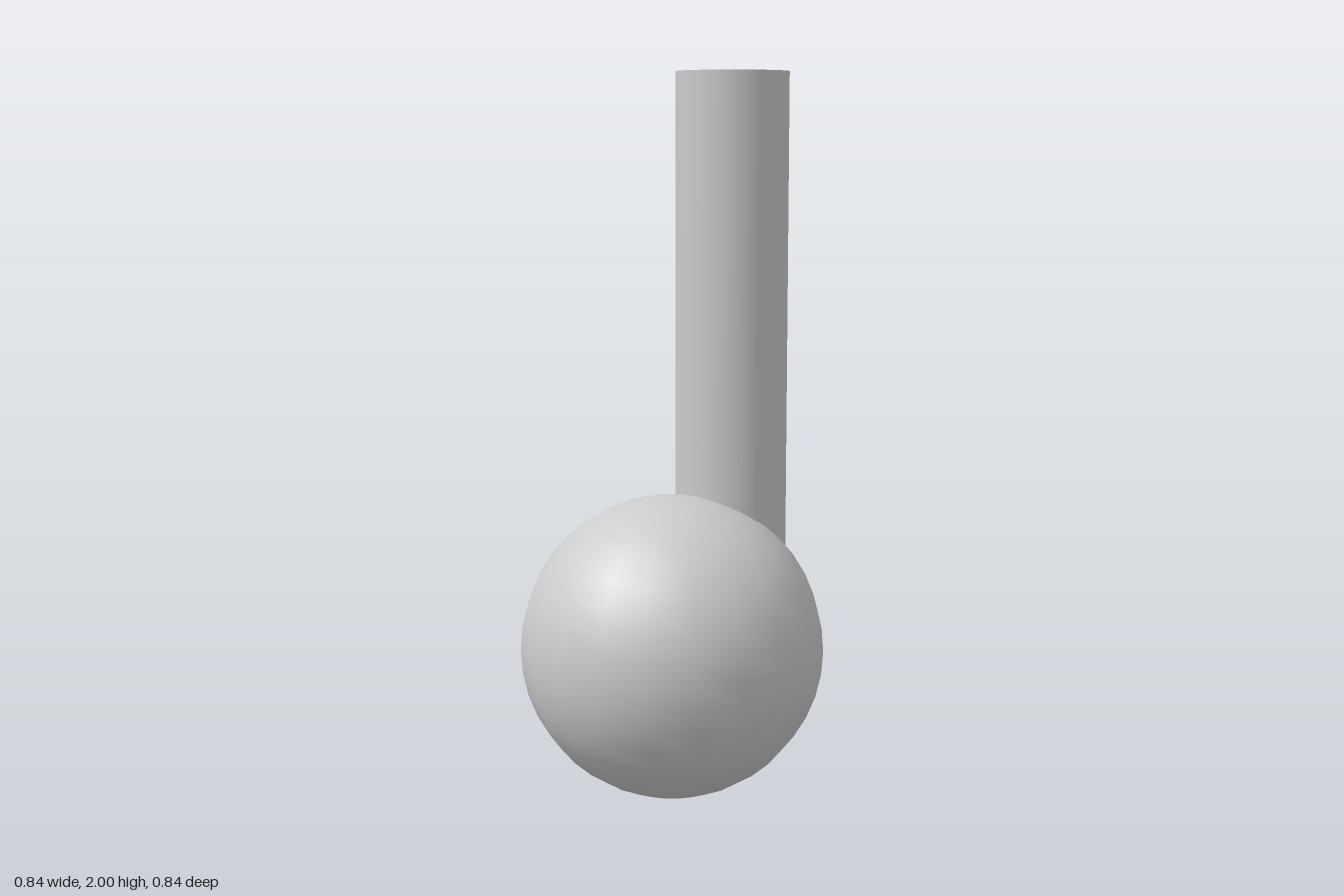
import * as THREE from 'three';

export function createModel() {
  const group = new THREE.Group();
  const material = new THREE.MeshStandardMaterial({ color: 0xcccccc });
  const sides = 20;
  const ballRadius = 0.422;

  // Round ball resting on the ground
  const ball = new THREE.Mesh(new THREE.SphereGeometry(ballRadius, sides, sides), material);
  ball.name = 'ball';
  ball.position.y = ballRadius;
  group.add(ball);

  // Upright stem, off-centre, sunk into the ball
  const bottom = ballRadius;
  const height = 2 - bottom;
  const stem = new THREE.Mesh(new THREE.CylinderGeometry(0.158, 0.158, height, sides), material);
  stem.name = 'stem';
  stem.position.set(0.231, bottom + height / 2, 0);
  group.add(stem);

  return group;
}
